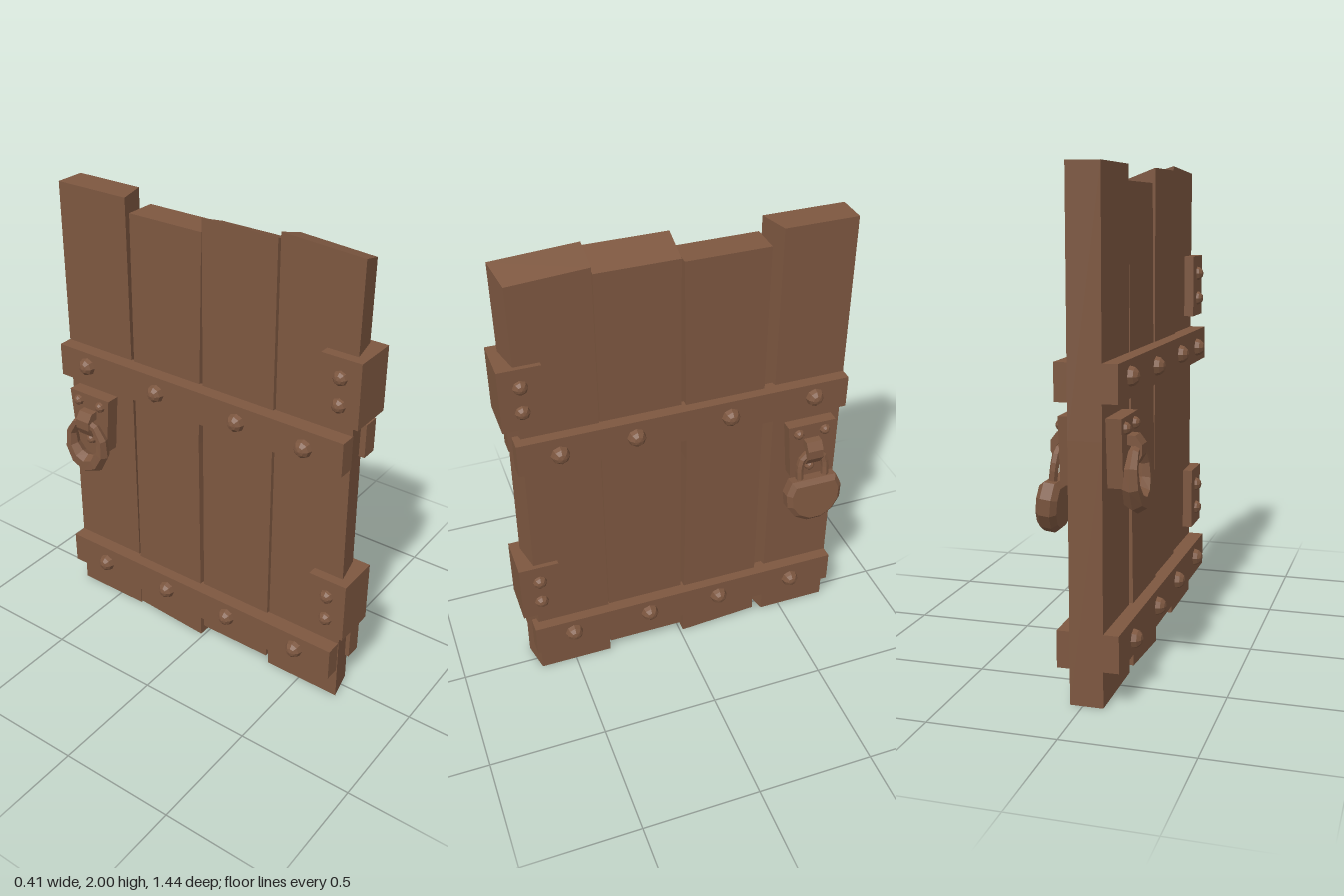
import * as THREE from 'three';

const wood = new THREE.MeshStandardMaterial({ color: 0x7d5740, flatShading: true });
const MID = -0.02; // x of the middle plane of the door

function mesh(name, geometry) {
  const m = new THREE.Mesh(geometry, wood);
  m.name = name;
  return m;
}

// Plank: a box whose corners (signs sx, sy, sz; sy is 0 half way up) are moved by a rule.
function plank(name, rule) {
  const g = new THREE.BoxGeometry(2, 2, 2, 1, 2, 1);
  const p = g.attributes.position;
  for (let i = 0; i < p.count; i++) p.setXYZ(i, ...rule(p.getX(i), p.getY(i), p.getZ(i)));
  g.computeVertexNormals();
  return mesh(name, g);
}

// Faceted dome pointing outwards along +x.
function stud(name, r, x, y, z) {
  const g = new THREE.SphereGeometry(r, 8, 6);
  g.rotateZ(-Math.PI / 2);
  const m = mesh(name, g);
  m.position.set(x, y, z);
  return m;
}

// Extrudes an outline drawn in (z, y) along x, centred on x = 0.
function slab(name, points, depth, bevel = 0) {
  const shape = new THREE.Shape(points.map(([a, b]) => new THREE.Vector2(a, b)));
  const g = new THREE.ExtrudeGeometry(shape, {
    depth: depth - 2 * bevel, bevelEnabled: bevel > 0, bevelSize: bevel,
    bevelThickness: bevel, bevelOffset: -bevel, bevelSegments: 1,
  });
  g.translate(0, 0, bevel - depth / 2);
  g.rotateY(Math.PI / 2);
  return mesh(name, g);
}

// Riveted plate with a hooked staple.
function lockPlate() {
  const group = new THREE.Group();
  group.name = 'lockPlate';
  const plate = slab('plate', [[-0.085, 0.82], [0.085, 0.82], [0.108, 1.08], [-0.108, 1.08]], 0.07);
  plate.position.x = 0.085;
  group.add(plate);
  for (const [y, z] of [[1.04, 0.06], [1.04, -0.06], [0.865, 0]]) {
    group.add(stud('plateRivet', 0.024, 0.12, y, z));
  }
  const hook = new THREE.Shape([
    [0.11, 0.975], [0.14, 0.97], [0.153, 0.955], [0.15, 0.935], [0.132, 0.92], [0.138, 0.895],
    [0.155, 0.9], [0.175, 0.935], [0.175, 0.975], [0.15, 1.008], [0.11, 1.01],
  ].map(([a, b]) => new THREE.Vector2(a, b)));
  const g = new THREE.ExtrudeGeometry(hook, { depth: 0.07, bevelEnabled: false });
  g.translate(0, 0, -0.035);
  group.add(mesh('staple', g));
  return group;
}

// Padlock hanging with its bottom tilted outwards.
function padlock() {
  const group = new THREE.Group();
  group.name = 'padlock';
  const outline = [];
  for (let i = 0; i <= 9; i++) {
    const a = THREE.MathUtils.degToRad(142 + (i / 9) * 256);
    outline.push([0.13 * Math.cos(a), 0.02 + 0.13 * Math.sin(a)]);
  }
  group.add(slab('lockBody', outline, 0.082, 0.02));
  const path = [[0.08, -0.058], [0.16, -0.058], [0.2, -0.045], [0.222, 0], [0.2, 0.045], [0.16, 0.058], [0.08, 0.058]];
  const curve = new THREE.CatmullRomCurve3(path.map(([y, z]) => new THREE.Vector3(0, y, z)));
  group.add(mesh('shackle', new THREE.TubeGeometry(curve, 12, 0.017, 6)));
  group.position.set(0.17, 0.73, 0);
  group.rotation.z = 0.12;
  return group;
}

// Pull ring, thin at the top and thick at the bottom.
function pullRing() {
  const R = 0.09;
  const g = new THREE.TorusGeometry(R, 0.02, 6, 10);
  g.rotateZ(Math.PI / 2);
  const p = g.attributes.position;
  for (let i = 0; i < p.count; i++) {
    const x = p.getX(i), y = p.getY(i), d = Math.hypot(x, y);
    const c = x / d, s = y / d;
    const k = 1.3 - 0.55 * s;
    const r = R + (d - R) * k;
    p.setXYZ(i, r * c, r * s * 1.18, p.getZ(i) * (k + 0.25));
  }
  g.rotateY(Math.PI / 2);
  g.computeVertexNormals();
  const m = mesh('pullRing', g);
  m.position.set(0.15, 0.86, 0);
  return m;
}

export function createModel() {
  const door = new THREE.Group();
  door.name = 'plankDoor';

  // Planks from the hinge edge to the lock edge, each slightly crooked
  const pick = (s, low, high) => (s < 0 ? low : high);
  door.add(plank('hingePlank', (sx, sy, sz) => [
    pick(sx, -0.073, 0.055),
    sy < 0 ? 0 : sy === 0 ? 1.15 : pick(sx, 2, 1.96) - (sz > 0 ? 0.02 : 0),
    sz < 0 ? 0.338 : pick(sx, 0.685, 0.657) - (sy === 0 ? 0.008 : 0),
  ]));
  door.add(plank('secondPlank', (sx, sy, sz) => [
    pick(sx, -0.083, 0.05),
    sy < 0 ? 0.045 : sy === 0 ? 1 : pick(sx, 1.98, 1.93),
    pick(sz, -0.005, 0.333),
  ]));
  door.add(plank('thirdPlank', (sx, sy, sz) => [
    sx > 0 ? 0.058 : -0.084 + 0.01 * sy,
    sy < 0 ? pick(sz, 0.027, 0) : sy === 0 ? 1 : 1.92,
    sz < 0 ? -0.362 : sy === 0 ? -0.027 : -0.014,
  ]));
  door.add(plank('lockPlank', (sx, sy, sz) => [
    pick(sx, -0.08, 0.05),
    sy < 0 ? 0 : sy === 0 ? 1 : 1.98,
    sz < 0 ? -0.72 : pick(sx, -0.377, -0.413),
  ]));

  // Hinge blocks wrapped round the front edge
  const hinges = [1.475, 0.485];
  for (const y of hinges) {
    const block = mesh('hinge', new THREE.BoxGeometry(0.19, 0.27, 0.17));
    block.position.set(MID, y, 0.635);
    door.add(block);
  }

  // Fittings on both faces, turned outwards
  const straps = [
    { y: 1.21, bolts: [[0.51, 1.205], [0.2, 1.21], [-0.2, 1.21], [-0.57, 1.22]] },
    { y: 0.213, bolts: [[0.51, 0.22], [0.16, 0.22], [-0.17, 0.215], [-0.525, 0.207]] },
  ];
  for (const side of [1, -1]) {
    const face = new THREE.Group();
    face.name = side > 0 ? 'leftFittings' : 'rightFittings';
    face.position.x = MID;
    face.rotation.y = side > 0 ? 0 : Math.PI;
    for (const { y, bolts } of straps) {
      const bar = mesh('strap', new THREE.BoxGeometry(0.07, 0.144, 1.4));
      bar.position.set(0.085, y, -0.02 * side);
      face.add(bar);
      for (const [z, by] of bolts) face.add(stud('strapBolt', 0.039, 0.12, by, z * side));
    }
    for (const y of hinges) {
      for (const dy of [0.055, -0.057]) face.add(stud('hingeBolt', 0.032, 0.09, y + dy, 0.635 * side));
    }
    const lock = new THREE.Group();
    lock.name = side > 0 ? 'padlockFitting' : 'ringFitting';
    lock.position.z = -0.573 * side;
    lock.add(lockPlate(), side > 0 ? padlock() : pullRing());
    face.add(lock);
    door.add(face);
  }
  return door;
}
